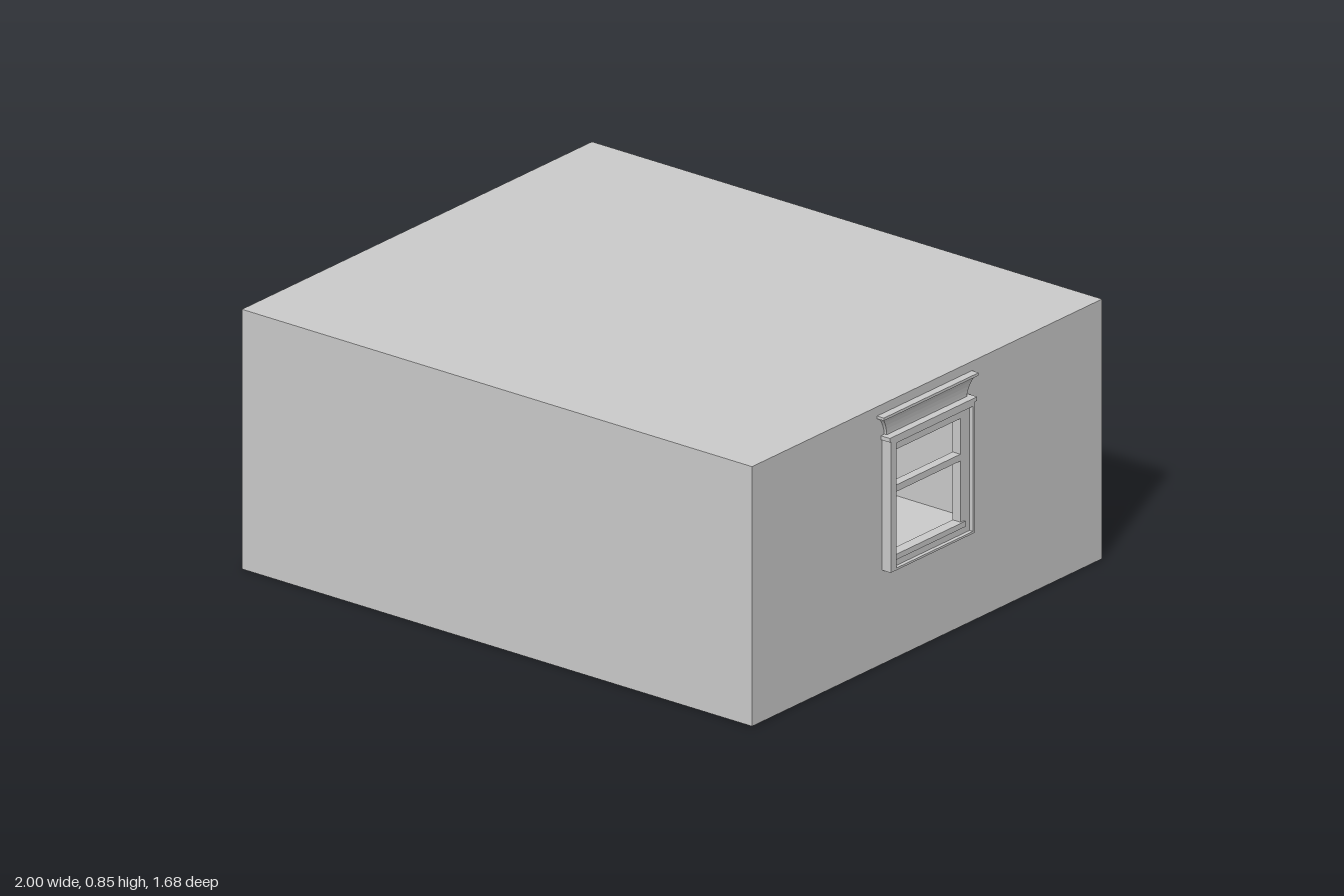
import * as THREE from 'three';

const material = new THREE.MeshStandardMaterial({ color: 0xcccccc, flatShading: true });

export function createModel() {
  const model = new THREE.Group();
  const X0 = -1, X1 = 0.965, Z = 0.84, H = 0.845, T = 0.01;

  const add = (parent, name, geometry) => {
    const mesh = new THREE.Mesh(geometry, material);
    mesh.name = name;
    parent.add(mesh);
    return mesh;
  };

  // Box given by its lower and upper corners
  const box = (parent, name, x0, x1, y0, y1, z0, z1) =>
    add(parent, name, new THREE.BoxGeometry(x1 - x0, y1 - y0, z1 - z0)
      .translate((x0 + x1) / 2, (y0 + y1) / 2, (z0 + z1) / 2));

  // Rectangle in the (z, y) plane
  const rect = (Type, z0, z1, y0, y1) => new Type([
    [z0, y0], [z1, y0], [z1, y1], [z0, y1],
  ].map(([z, y]) => new THREE.Vector2(z, y)));

  // Upright panel facing +x, with rectangular holes
  const panel = (parent, name, x, depth, outer, holes) => {
    const shape = rect(THREE.Shape, ...outer);
    holes.forEach((h) => shape.holes.push(rect(THREE.Path, ...h)));
    const geometry = new THREE.ExtrudeGeometry(shape, { depth, bevelEnabled: false });
    return add(parent, name, geometry.rotateY(-Math.PI / 2).translate(x, 0, 0));
  };

  // Wall across the room with a doorway reaching the floor
  const doorWall = (name, x) => {
    const outline = [[-Z, 0], [-0.14, 0], [-0.14, 0.55], [0.14, 0.55], [0.14, 0], [Z, 0], [Z, H], [-Z, H]];
    const shape = new THREE.Shape(outline.map(([z, y]) => new THREE.Vector2(z, y)));
    const geometry = new THREE.ExtrudeGeometry(shape, { depth: T, bevelEnabled: false });
    return add(model, name, geometry.rotateY(-Math.PI / 2).translate(x, 0, 0));
  };

  // Room shell
  box(model, 'floor', X0, X1, 0, 0.004, -Z, Z);
  box(model, 'roof', X0, X1, H - T, H, -Z, Z);
  box(model, 'frontWall', X0, X1, 0, H, Z - T, Z);
  box(model, 'backWall', X0, X1, 0, H, -Z, -Z + T);
  const opening = [-0.135, 0.174, 0.35, 0.69];
  panel(model, 'windowWall', X1, T, [-Z, Z, 0, H], [opening]);
  doorWall('doorWall', X0 + T);
  doorWall('partitionWall', -0.4 + T);

  // Window
  const win = new THREE.Group();
  win.name = 'window';
  model.add(win);
  const inner = [-0.179, 0.188, 0.312, 0.719];
  panel(win, 'outerCasing', 0.998, 0.035, [-0.19, 0.215, 0.305, 0.735], [inner]);
  panel(win, 'innerCasing', 0.985, 0.03, inner, [opening]);
  box(win, 'meetingRail', 0.955, 0.985, 0.552, 0.574, -0.147, 0.188);
  box(win, 'sill', 0.955, 0.992, 0.335, 0.353, -0.15, 0.185);

  // Head board above the casing, flaring outwards at its top
  box(win, 'headLedge', 0.96, 1.0, 0.732, 0.745, -0.197, 0.222);
  const crown = new THREE.BoxGeometry(0.02, 0.075, 0.385, 1, 6, 1);
  const p = crown.attributes.position;
  for (let i = 0; i < p.count; i++) {
    const t = (p.getY(i) + 0.0375) / 0.075;
    const flare = 0.035 * t * t;
    p.setZ(i, p.getZ(i) + Math.sign(p.getZ(i)) * flare);
    if (p.getX(i) > 0) p.setX(i, p.getX(i) - 0.006 + flare * 0.34);
  }
  crown.translate(0.97, 0.7775, 0.0125);
  add(win, 'crown', crown);
  box(win, 'crownCap', 0.96, 0.991, 0.806, 0.815, -0.215, 0.24);

  return model;
}
